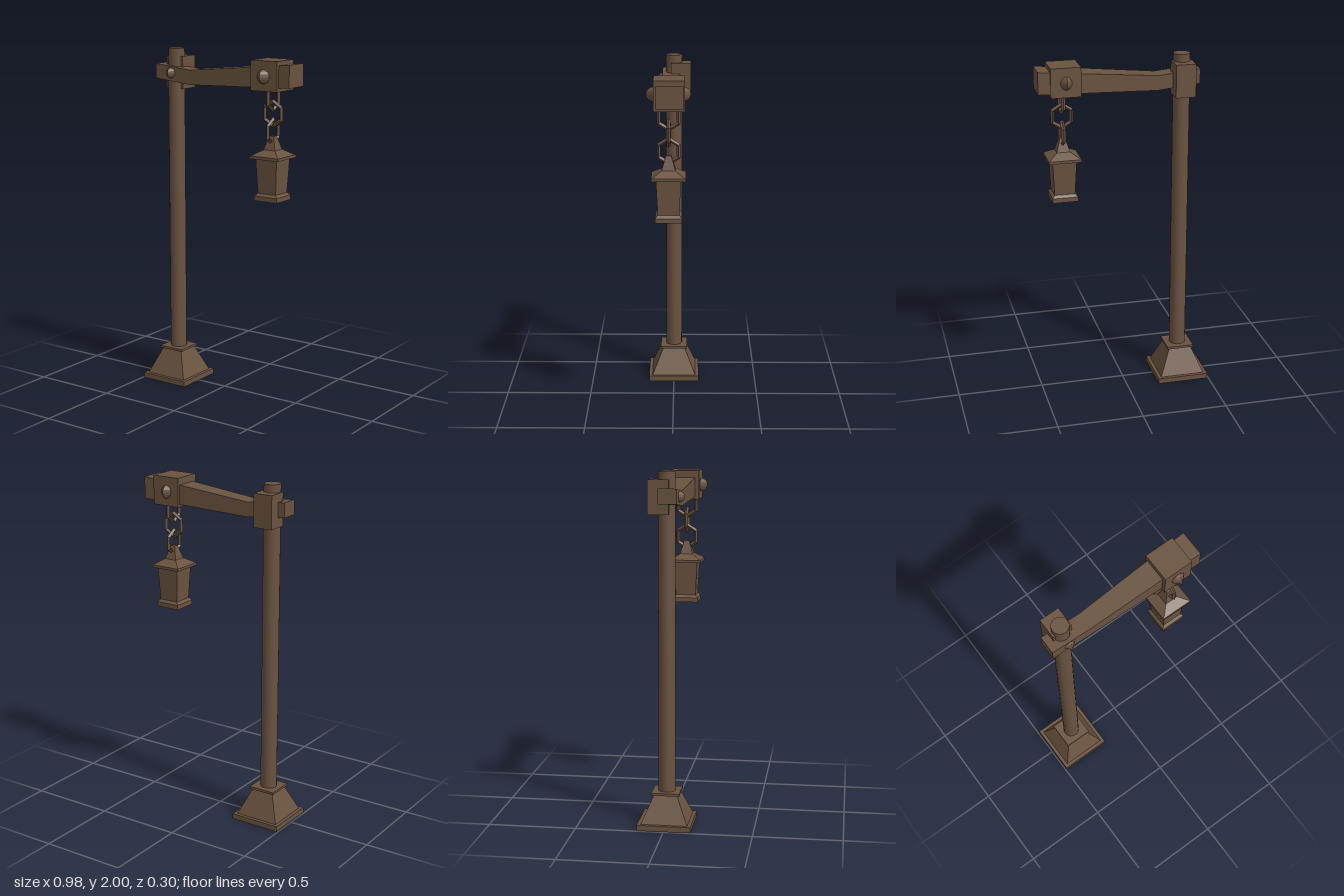
import * as THREE from 'three';

const wood = new THREE.MeshStandardMaterial({ color: 0x6a5340 });
wood.name = 'dark brown';

export function createModel() {
  const model = new THREE.Group();
  model.name = 'lampPost';

  // adds a mesh; faceted parts get one normal per face
  function add(name, geometry, x, y, z, smooth = false) {
    let g = geometry;
    if (!smooth) {
      g = g.index ? g.toNonIndexed() : g;
      g.computeVertexNormals();
    }
    const mesh = new THREE.Mesh(g, wood);
    mesh.name = name;
    mesh.position.set(x, y, z);
    model.add(mesh);
    return mesh;
  }

  // square block between two heights, given its half widths
  function block(name, x, z, y0, y1, bottom, top = bottom) {
    const g = new THREE.CylinderGeometry(top * Math.SQRT2, bottom * Math.SQRT2, y1 - y0, 4);
    g.rotateY(Math.PI / 4);
    return add(name, g, x, (y0 + y1) / 2, z);
  }

  // stepped foot and round post
  const px = -0.341;
  block('footSlab', px, 0, 0, 0.032, 0.152);
  block('footTaper', px, 0, 0.032, 0.188, 0.132, 0.065);
  block('footCap', px, 0, 0.186, 0.2, 0.08);
  add('post', new THREE.CylinderGeometry(0.048, 0.048, 1.81, 20), px, 1.095, 0, true);
  add('bracket', new THREE.BoxGeometry(0.116, 0.19, 0.118), px, 1.86, -0.041);

  // bent arm: each station is x, bottom, top, back, front
  const stations = [
    [-0.441, 1.825, 1.91, -0.035, 0.068],
    [-0.2, 1.8, 1.885, -0.035, 0.068],
    [0.489, 1.825, 1.952, -0.058, 0.09],
  ];
  const arm = new THREE.BoxGeometry(1, 1, 1, 2, 1, 1);
  const p = arm.attributes.position;
  for (let i = 0; i < p.count; i++) {
    const [x, y0, y1, z0, z1] = stations[Math.round((p.getX(i) + 0.5) * 2)];
    p.setXYZ(i, x, p.getY(i) > 0 ? y1 : y0, p.getZ(i) > 0 ? z1 : z0);
  }
  add('arm', arm, 0, 0, 0);

  // collar on the arm and the studs
  add('collar', new THREE.BoxGeometry(0.172, 0.168, 0.17), 0.334, 1.885, 0.021);
  const stud = (x, y, z, r) => add('stud', new THREE.SphereGeometry(r, 4, 8), x, y, z);
  stud(0.332, 1.882, 0.108, 0.04);
  stud(0.332, 1.882, -0.057, 0.04);
  stud(-0.334, 1.86, 0.068, 0.031);

  // three six-sided chain links, turned alternately
  const lx = 0.345, lz = 0.024;
  [1.76, 1.672, 1.572].forEach((y, i) => {
    const g = new THREE.TorusGeometry(0.062, 0.012, 4, 6);
    g.rotateZ(Math.PI / 6);
    g.scale(1, 1.1, 1);
    if (i % 2 === 0) g.rotateY(Math.PI / 2);
    add('chainLink', g, lx, y, lz);
  });

  // lantern
  block('lanternFinial', lx, lz, 1.47, 1.548, 0.038, 0.015);
  block('lanternRoof', lx, lz, 1.438, 1.47, 0.09, 0.038);
  block('lanternEaves', lx, lz, 1.422, 1.438, 0.094);
  block('lanternBody', lx, lz, 1.225, 1.422, 0.059, 0.069);
  block('lanternFlare', lx, lz, 1.21, 1.225, 0.074, 0.059);
  block('lanternBase', lx, lz, 1.183, 1.21, 0.074);
  return model;
}
